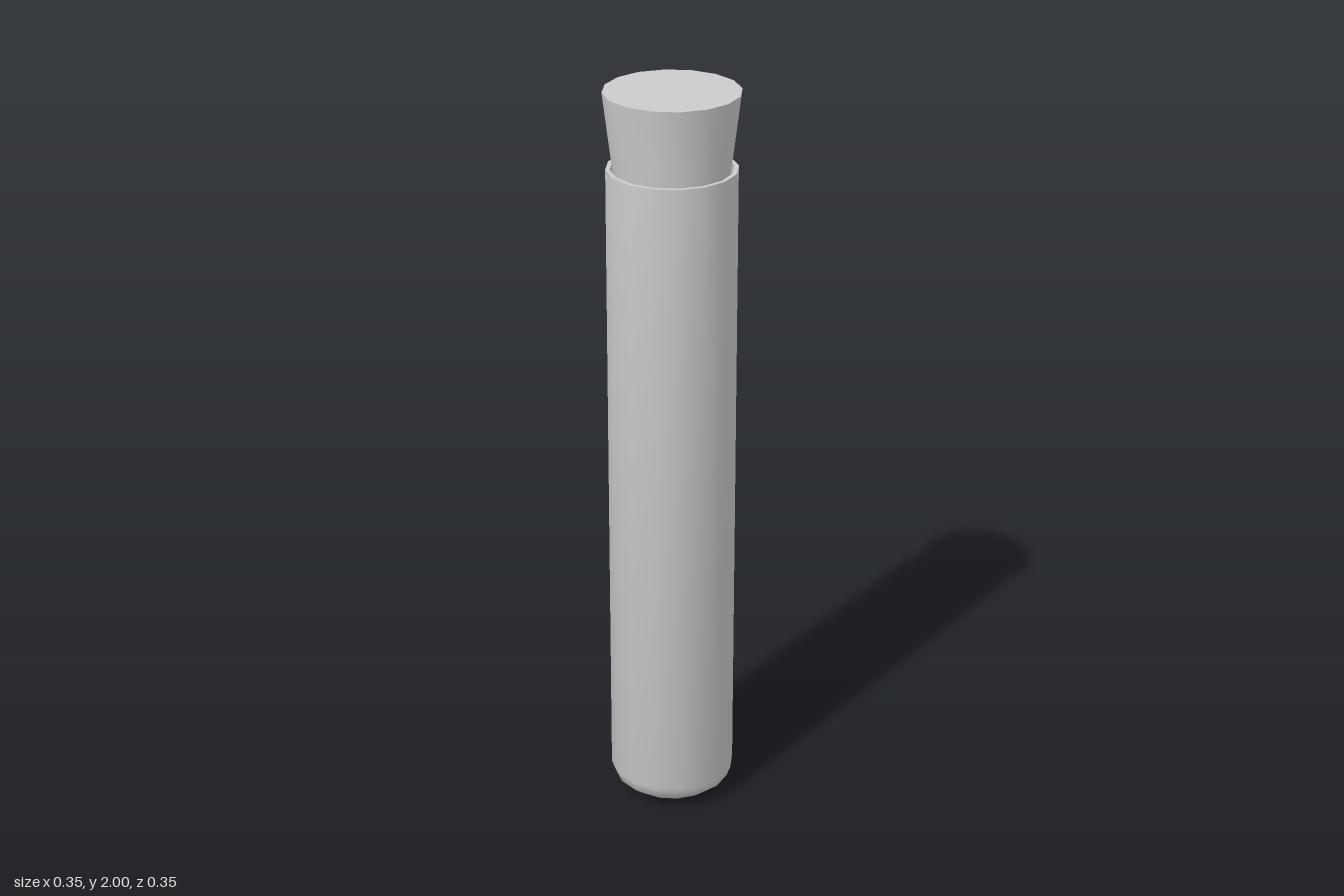
import * as THREE from 'three';
import { toCreasedNormals } from 'three/addons/utils/BufferGeometryUtils.js';

const SIDES = 16;

// Revolve a [radius, height] profile, smooth around the axis with sharp rims
function turned(name, profile, material) {
  const points = profile.map(([r, y]) => new THREE.Vector2(r, y));
  const geometry = toCreasedNormals(new THREE.LatheGeometry(points, SIDES), 0.8);
  const mesh = new THREE.Mesh(geometry, material);
  mesh.name = name;
  return mesh;
}

export function createModel() {
  const group = new THREE.Group();
  group.name = 'stopperedTube';
  const material = new THREE.MeshStandardMaterial({ color: 0xcccccc });

  // Tube: rounded base, straight outer wall, rim, inner wall and inner floor
  group.add(turned('tube', [
    [0, 0], [0.07, 0.004], [0.125, 0.019], [0.157, 0.044], [0.168, 0.075],
    [0.168, 1.8], [0.157, 1.8],
    [0.157, 0.08], [0.147, 0.052], [0.117, 0.03], [0.066, 0.015], [0, 0.011],
  ], material));

  // Stopper: tapered plug seated in the mouth of the tube
  group.add(turned('stopper', [
    [0, 1.68], [0.136, 1.68], [0.175, 2], [0, 2],
  ], material));

  return group;
}
